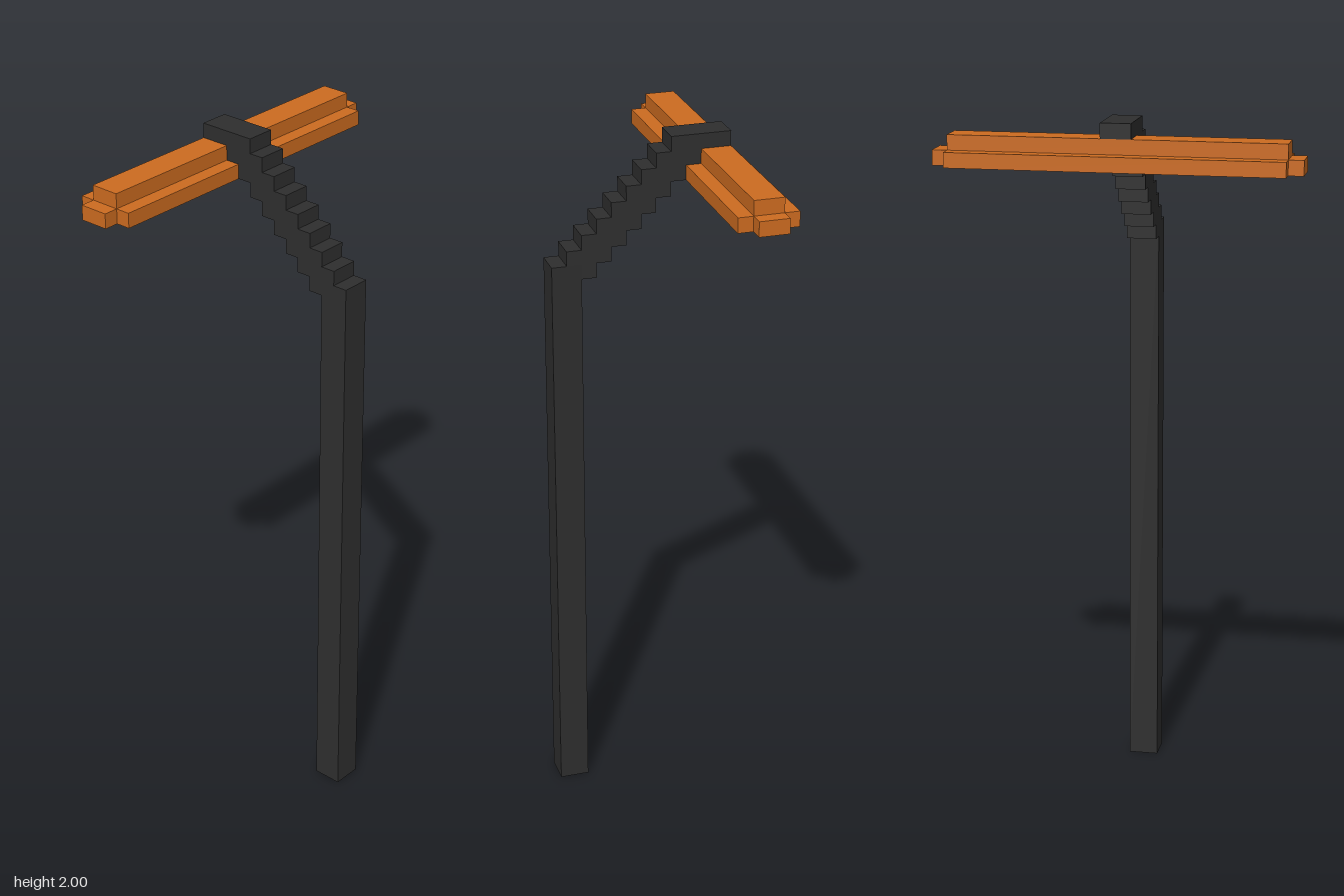
import * as THREE from 'three';

const U = 2 / 47; // edge of one block; the model is 13 x 47 x 24 blocks

function material(name, color) {
  const m = new THREE.MeshStandardMaterial({ color });
  m.name = name;
  return m;
}

export function createModel() {
  const black = material('black metal', 0x2e2e2e);
  const orange = material('orange housing', 0xcc6b20);
  const grey = material('pale lamp glass', 0xc6c6c6);

  const model = new THREE.Group();
  model.name = 'streetLamp';

  // Box given by its block limits: x counted from the lamp side, y from the ground, z from the middle
  function block(parent, name, mat, x0, x1, y0, y1, z0, z1) {
    const mesh = new THREE.Mesh(new THREE.BoxGeometry((x1 - x0) * U, (y1 - y0) * U, (z1 - z0) * U), mat);
    mesh.position.set(((x0 + x1) / 2 - 6.5) * U, ((y0 + y1) / 2) * U, ((z0 + z1) / 2) * U);
    mesh.name = name;
    parent.add(mesh);
  }

  // Upright pole
  block(model, 'pole', black, 11, 13, 0, 39, -1, 1);

  // Stepped arm climbing from the pole to the lamp
  const arm = new THREE.Group();
  arm.name = 'arm';
  model.add(arm);
  block(arm, 'armStep', black, 10, 11, 38, 39, -1, 1);
  for (let y = 39; y < 46; y++) block(arm, 'armStep', black, 48 - y, 51 - y, y, y + 1, -1, 1);
  block(arm, 'armTop', black, 1, 5, 46, 47, -1, 1);

  // Lamp head: top cover, rim and the glass set into its underside
  const lamp = new THREE.Group();
  lamp.name = 'lampHead';
  model.add(lamp);
  block(lamp, 'cover', orange, 1, 3, 45, 46, -11, 11);
  for (const x of [0, 3]) block(lamp, 'sideRail', orange, x, x + 1, 44, 45, -11, 11);
  for (const z of [-12, 10]) block(lamp, 'endCap', orange, 1, 3, 44, 45, z, z + 2);
  block(lamp, 'glass', grey, 1, 3, 44, 45, -10, 10);

  return model;
}
